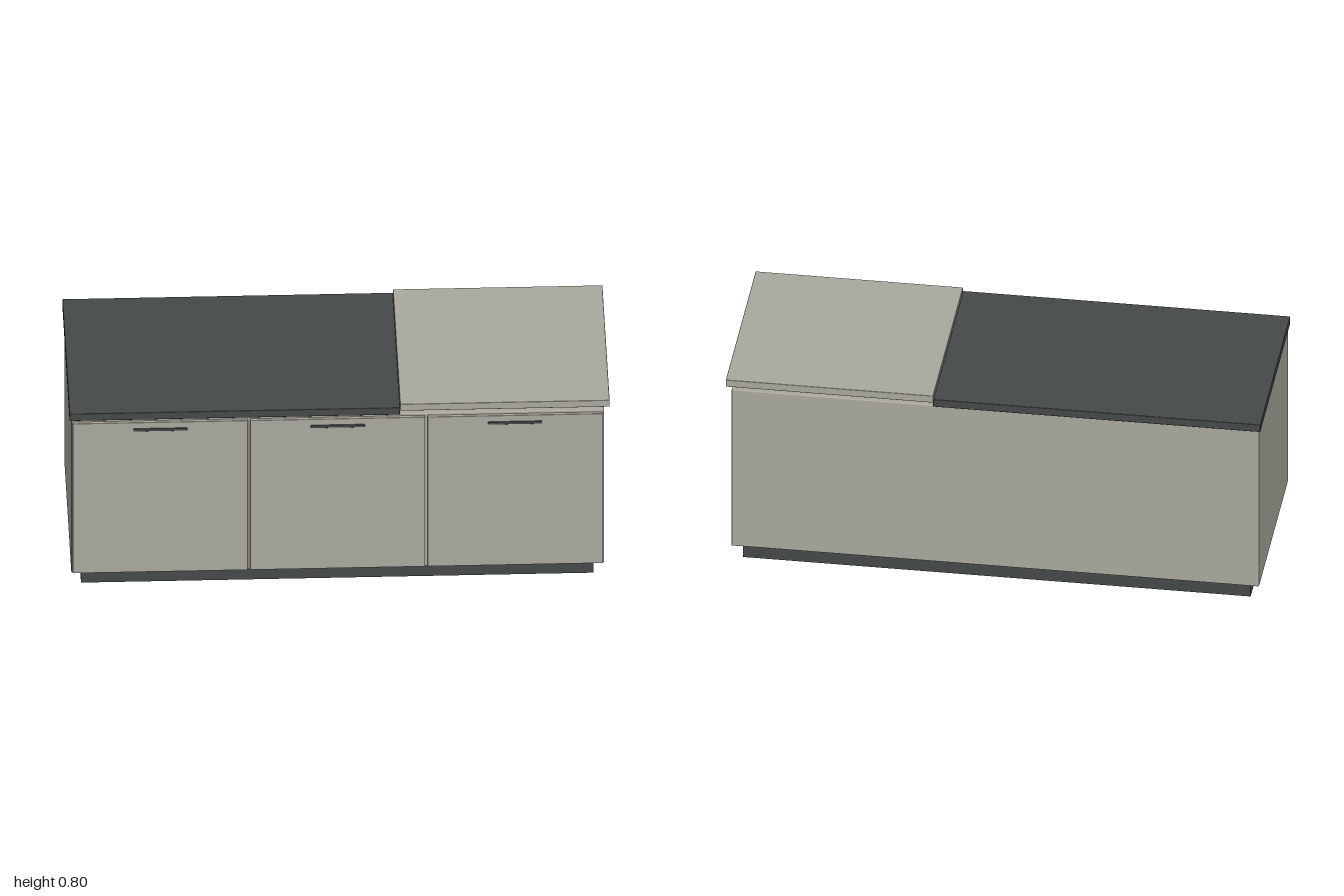
import * as THREE from 'three';
import { RoundedBoxGeometry } from 'three/addons/geometries/RoundedBoxGeometry.js';

export function createModel() {
  const group = new THREE.Group();
  group.name = 'kitchenIsland';

  const stone = new THREE.MeshStandardMaterial({ color: 0xaaa89e });
  stone.name = 'warm grey';
  const dark = new THREE.MeshStandardMaterial({ color: 0x45494a });
  dark.name = 'charcoal';

  // Box given by its extents on each axis, with softened edges when r > 0
  function slab(name, material, [x0, x1], [y0, y1], [z0, z1], r = 0) {
    const size = [x1 - x0, y1 - y0, z1 - z0];
    const geometry = r
      ? new RoundedBoxGeometry(...size, 2, r)
      : new THREE.BoxGeometry(...size);
    const mesh = new THREE.Mesh(geometry, material);
    mesh.name = name;
    mesh.position.set((x0 + x1) / 2, (y0 + y1) / 2, (z0 + z1) / 2);
    group.add(mesh);
  }

  // Recessed plinth and cabinet body
  slab('plinth', dark, [-0.956, 0.942], [0, 0.07], [-0.334, 0.331]);
  slab('cabinetBody', stone, [-0.993, 0.98], [0.069, 0.751], [-0.372, 0.369], 0.004);

  // Worktop, and the raised slab over its left end
  slab('worktop', dark, [-1, 0.224], [0.753, 0.785], [-0.385, 0.38], 0.003);
  slab('raisedSlab', stone, [0.224, 1], [0.77, 0.8], [-0.385, 0.38], 0.003);

  // Three doors, each with a slim bar handle near the top
  for (let i = -1; i <= 1; i++) {
    const x = -0.007 + i * 0.657;
    slab('door', stone, [x - 0.324, x + 0.324], [0.076, 0.743], [0.369, 0.383], 0.003);
    slab('handle', dark, [x - 0.1, x + 0.1], [0.705, 0.717], [0.375, 0.387], 0.003);
  }
  return group;
}
